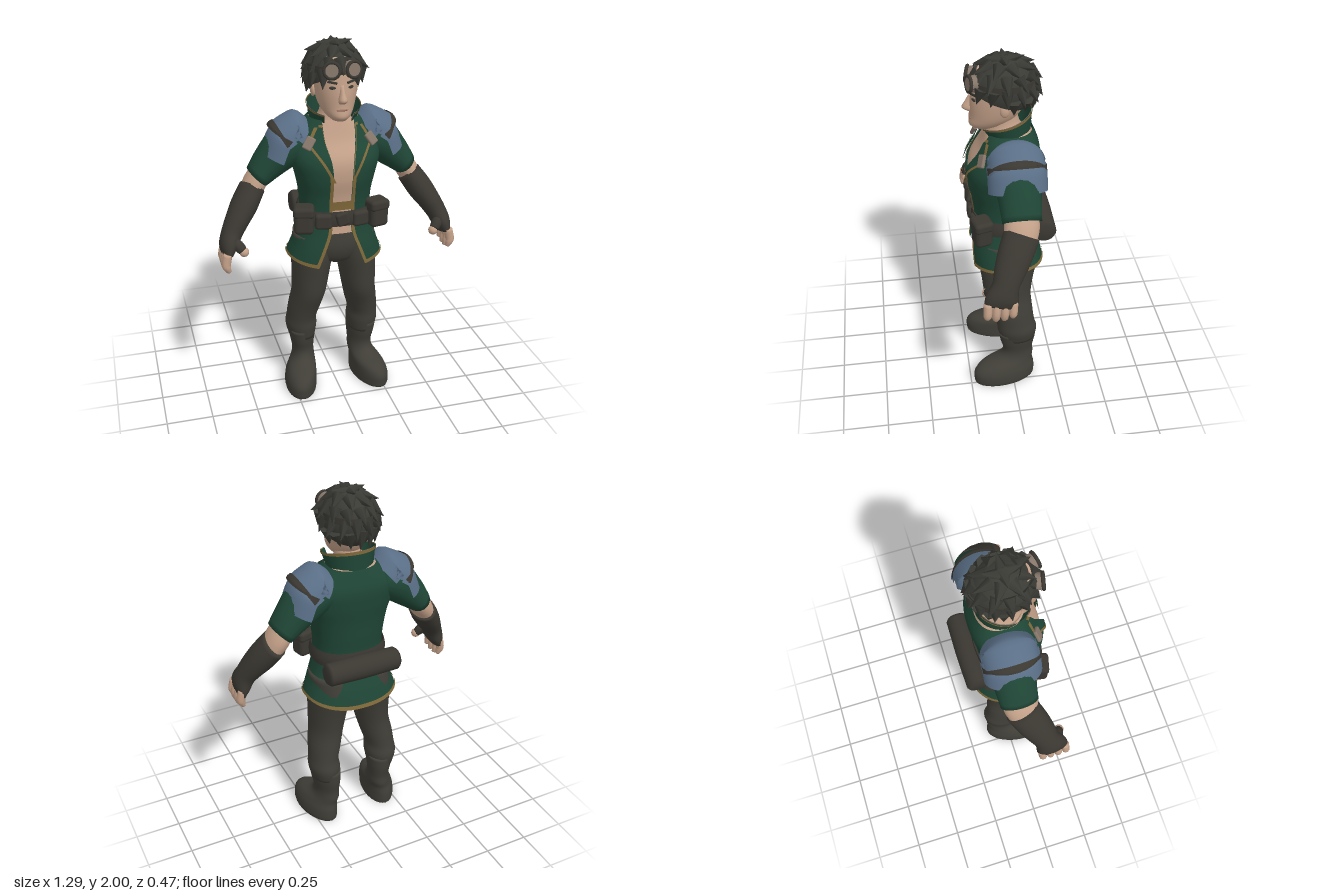
import * as THREE from 'three';
import { RoundedBoxGeometry } from 'three/addons/geometries/RoundedBoxGeometry.js';

const flat = (name, color, side = THREE.FrontSide) => {
  const m = new THREE.MeshStandardMaterial({ color, side });
  m.name = name;
  return m;
};
const V = (x, y, z) => new THREE.Vector3(x, y, z);

// Smooth interpolation through rows of numbers; t counts rows
function rowAt(rows, t) {
  const n = rows.length - 1, i = Math.max(0, Math.min(Math.floor(t), n - 1)), f = t - i;
  return rows[i].map((b, k) => {
    const c = rows[i + 1][k];
    const a = i > 0 ? rows[i - 1][k] : 2 * b - c, d = i + 2 <= n ? rows[i + 2][k] : 2 * c - b;
    return b + 0.5 * f * (c - a + f * (2 * a - 5 * b + 4 * c - d + f * (3 * (b - c) + d - a)));
  });
}

// Surface from fn(row 0..1, column 0..1)
function grid(nr, nc, fn, closed = false) {
  const pos = [], idx = [], w = closed ? nc : nc + 1;
  for (let i = 0; i <= nr; i++)
    for (let j = 0; j < w; j++) pos.push(...fn(i / nr, j / nc).toArray());
  for (let i = 0; i < nr; i++)
    for (let j = 0; j < nc; j++) {
      const k = (j + 1) % w, a = i * w + j, b = a + w, c = i * w + k, d = (i + 1) * w + k;
      idx.push(a, b, c, b, d, c);
    }
  const g = new THREE.BufferGeometry();
  g.setAttribute('position', new THREE.Float32BufferAttribute(pos, 3));
  g.setIndex(idx);
  g.computeVertexNormals();
  return g;
}

// Capped loft through rows [x, y, z, side radius, front radius]; level keeps sections horizontal
function loft(rows, { level = false, seg = 20, sub = 4, skew = 0 } = {}) {
  const n = (rows.length - 1) * sub;
  return grid(n + 2, seg, (r, c) => {
    const i = Math.round(r * (n + 2)) - 1, t = Math.max(0, Math.min(i, n)) / sub;
    const q = rowAt(rows, t), cap = i < 0 || i > n ? 0 : 1;
    const dir = V(0, -1, 0);
    if (!level) {
      const a = rowAt(rows, Math.max(0, t - 0.1)), b = rowAt(rows, Math.min(rows.length - 1, t + 0.1));
      dir.set(b[0] - a[0], b[1] - a[1], b[2] - a[2]).normalize();
    }
    const w = V(0, 0, 1).addScaledVector(dir, -dir.z).normalize(), u = w.clone().cross(dir);
    const th = c * Math.PI * 2, dz = q[4] * Math.cos(th) * cap;
    return V(q[0] + skew * dz, q[1], q[2]).addScaledVector(u, q[3] * Math.sin(th) * cap).addScaledVector(w, dz);
  }, true);
}

// Coat rows every 0.1 down from y = 1.6: [y, centre z, half width, half depth, half opening]
const COAT = [
  [1.6, 0, 0.13, 0.125, 0.085], [1.5, 0, 0.225, 0.16, 0.08], [1.4, 0.03, 0.24, 0.185, 0.058],
  [1.3, 0.04, 0.215, 0.18, 0.05], [1.2, 0.035, 0.195, 0.165, 0.05], [1.1, 0.035, 0.19, 0.155, 0.05],
  [1.0, 0.035, 0.205, 0.16, 0.055], [0.9, 0.025, 0.235, 0.185, 0.09], [0.8, 0.015, 0.26, 0.2, 0.125]];
const pw = (v) => Math.sign(v) * Math.abs(v) ** 0.85;
const tOf = (y) => (1.6 - y) * 10;
const gap = (t) => rowAt(COAT, t)[4];
const angle = (x, t) => Math.asin(Math.min(1, (x / rowAt(COAT, t)[2]) ** (1 / 0.85)));
function coat(t, th, off = 0) {
  const [y, cz, rx, rz] = rowAt(COAT, t), s = Math.sin(th);
  return V((rx + off) * pw(s), y + Math.max(0, t - 7) * 0.035 * s * s, cz + (rz + off) * pw(Math.cos(th)));
}
// Thin front panel lying on the coat between two x curves
const panel = (y0, y1, xa, xb, off) => grid(24, 4, (r, c) => {
  const t = tOf(y0 + (y1 - y0) * r);
  return coat(t, angle(xa(t) + (xb(t) - xa(t)) * c, t), off);
});

export function createModel() {
  const D = THREE.DoubleSide;
  const skin = flat('skin', 0xc4a189), hair = flat('hair', 0x3a3b35, D), green = flat('green cloth', 0x1f4636, D);
  const gold = flat('gold trim', 0x80693a, D), blue = flat('blue armour', 0x5a6f87, D);
  const trousers = flat('trousers', 0x403e37), leather = flat('dark leather', 0x3b3832, D);
  const lens = flat('tan lens', 0x86766a), lips = flat('lips', 0x9a6e5e);

  const model = new THREE.Group();
  const add = (name, geo, mat, p, parent = model) => {
    const m = new THREE.Mesh(geo, mat);
    m.name = name;
    if (p) m.position.set(...p);
    parent.add(m);
    return m;
  };
  // Left half (+x) and its mirror
  const left = new THREE.Group();
  const side = (name, geo, mat, p) => add(name, geo, mat, p, left);

  // Body
  add('chest', grid(36, 40, (r, c) => coat(r * 6.1, c * Math.PI * 2, -0.012), true), skin);
  add('neck', loft([[0, 1.7, 0.03, 0.07, 0.075], [0, 1.63, 0.02, 0.075, 0.08], [0, 1.56, 0.01, 0.11, 0.115]], { level: true }), skin);
  add('hips', loft([[0, 1.0, 0.03, 0.18, 0.14], [0, 0.9, 0.02, 0.2, 0.16], [0, 0.82, 0.015, 0.16, 0.14], [0, 0.78, 0.01, 0.06, 0.09]], { level: true }), trousers);

  // Head
  add('head', loft([[0, 1.93, 0.03, 0.09, 0.12], [0, 1.88, 0.035, 0.11, 0.143], [0, 1.82, 0.04, 0.113, 0.148],
    [0, 1.75, 0.05, 0.108, 0.145], [0, 1.68, 0.07, 0.092, 0.125], [0, 1.635, 0.1, 0.066, 0.1], [0, 1.61, 0.12, 0.038, 0.06]],
  { level: true, seg: 32 }), skin);
  add('nose', loft([[0, 1.8, 0.18, 0.011, 0.012], [0, 1.76, 0.19, 0.015, 0.025], [0, 1.725, 0.2, 0.023, 0.033], [0, 1.705, 0.185, 0.018, 0.02]], { level: true, seg: 12 }), skin);
  add('mouth', new THREE.SphereGeometry(1, 12, 8), lips, [0, 1.672, 0.191]).scale.set(0.032, 0.006, 0.008);
  const eye = side('eye', new THREE.SphereGeometry(1, 12, 8), hair, [0.045, 1.785, 0.176]);
  eye.scale.set(0.02, 0.009, 0.006);
  eye.rotation.y = 0.4;
  const brow = side('eyebrow', new THREE.BoxGeometry(0.05, 0.011, 0.009), hair, [0.048, 1.813, 0.175]);
  brow.rotation.set(0, 0.45, 0.15);
  side('ear', new THREE.SphereGeometry(1, 12, 10), skin, [0.112, 1.745, 0.03]).scale.set(0.014, 0.035, 0.025);

  // Hair cap and swept tufts
  const scalp = (phi, th) => V(0.14 * Math.sin(phi) * Math.sin(th), 0.148 * Math.cos(phi), 0.165 * Math.sin(phi) * Math.cos(th)).add(V(0, 1.83, 0.02));
  const hairline = (th) => 1.5 + 0.95 * ((1 - Math.cos(th)) / 2) ** 0.8;
  add('hair cap', grid(12, 36, (r, c) => scalp(r * hairline(c * Math.PI * 2), c * Math.PI * 2), true), hair);
  [[0.25, 4], [0.7, 8], [1.15, 12], [1.55, 14], [1.95, 14]].forEach(([phi, n], k) => {
    for (let i = 0; i < n; i++) {
      const th = ((i + 0.5 * (k % 2)) / n) * Math.PI * 2, jit = Math.sin(i * 7.3 + k * 3.1);
      if (phi > hairline(th) - 0.08) continue;
      const p = scalp(phi, th), down = scalp(phi + 0.1, th).sub(p).normalize();
      const out = p.clone().sub(V(0, 1.83, 0.02)).normalize();
      const dir = down.multiplyScalar(0.9).addScaledVector(out, 0.5 + 0.12 * jit).add(V(0.25 * jit, 0, 0)).normalize();
      const tuft = add('hair tuft', new THREE.ConeGeometry(0.038, 0.095 + 0.012 * jit, 6), hair, p.addScaledVector(dir, 0.012).toArray());
      tuft.quaternion.setFromUnitVectors(V(0, 1, 0), dir);
    }
  });

  // Goggles on the forehead
  const strap = add('goggle strap', new THREE.CylinderGeometry(1, 1, 0.035, 32, 1, true), leather, [0, 1.87, 0.02]);
  strap.scale.set(0.145, 1, 0.172);
  const cup = new THREE.Group();
  cup.name = 'goggle';
  cup.position.set(0.053, 1.877, 0.185);
  cup.rotation.set(-0.12, 0.25, 0);
  left.add(cup);
  add('goggle rim', new THREE.TorusGeometry(0.039, 0.009, 8, 24), leather, [0, 0, 0.014], cup);
  add('goggle lens', new THREE.CylinderGeometry(0.038, 0.043, 0.04, 24), lens, [0, 0, 0], cup).rotation.x = Math.PI / 2;

  // Coat body, edging and lapels
  add('coat', grid(48, 64, (r, c) => {
    const t = r * 8, a = angle(gap(t), t);
    return coat(t, a + (2 * Math.PI - 2 * a) * c);
  }), green);
  add('coat hem', grid(2, 64, (r, c) => {
    const t = 7.8 + r * 0.22, a = angle(gap(t), t);
    return coat(t, a + (2 * Math.PI - 2 * a) * c, 0.005);
  }), gold);
  side('front edging', panel(1.58, 0.8, gap, (t) => gap(t) + 0.017, 0.005), gold);
  const lapel = (t) => gap(t) + (t < 1.1 ? 0.03 + 0.05 * Math.max(0, t - 0.3) / 0.8 : 0.08 * Math.max(0, (3 - t) / 1.9));
  side('lapel', panel(1.57, 1.3, gap, lapel, 0.012), green);
  side('lapel edging', panel(1.57, 1.3, (t) => lapel(t) - 0.012, (t) => lapel(t) + 0.003, 0.015), gold);
  side('waist edging', panel(1.18, 1.13, () => 0, () => 0.055, 0.003), gold);

  // Standing collar
  const collar = (r, c, off = 0) => {
    const th = 0.6 + c * (2 * Math.PI - 1.2), s = Math.sin(th), k = Math.cos(th);
    const top = V((0.14 + off) * s, 1.663 - 0.26 * 0.14 * k, 0.02 + (0.14 + off) * k);
    return top.lerp(V((0.122 + off) * s, 1.57, (0.117 + off) * k), r);
  };
  add('collar', grid(5, 40, (r, c) => collar(r, c)), green);
  add('collar edging', grid(1, 40, (r, c) => collar(-0.03 + r * 0.14, c, 0.004)), gold);
  add('collar lining', grid(3, 40, (r, c) => collar(r, c, -0.005)), lens);

  // Shoulder armour: profile in x and y, arched front to back
  const plate = (prof, depth, rz) => grid(8, 20, (r, c) => {
    const t = r * (prof.length - 1), p = rowAt(prof, t);
    const a = rowAt(prof, Math.max(0, t - 0.1)), b = rowAt(prof, Math.min(prof.length - 1, t + 0.1));
    const d = V(b[1] - a[1], a[0] - b[0], 0).normalize(), ph = (0.5 - c) * -2.9;
    return V(p[0], p[1], -0.012 + rz * Math.sin(ph)).addScaledVector(d, depth * (1 - Math.cos(ph)));
  });
  side('upper shoulder plate', plate([[0.125, 1.575], [0.195, 1.628], [0.265, 1.605], [0.335, 1.562]], 0.12, 0.145), blue);
  side('shoulder plate rim', plate([[0.312, 1.583], [0.335, 1.57], [0.345, 1.555]], 0.125, 0.15), leather);
  side('lower shoulder plate', plate([[0.28, 1.575], [0.34, 1.525], [0.383, 1.425]], 0.11, 0.152), blue);
  side('shoulder buckle', new RoundedBoxGeometry(0.05, 0.07, 0.02, 2, 0.008), lens, [0.165, 1.5, 0.155]).rotation.set(-0.5, 0.3, 0.6);

  // Arms
  side('sleeve', loft([[0.13, 1.49, -0.01, 0.09, 0.12], [0.24, 1.45, -0.01, 0.115, 0.125], [0.33, 1.37, -0.015, 0.095, 0.11], [0.41, 1.285, -0.015, 0.066, 0.1]]), green);
  side('forearm', loft([[0.39, 1.31, -0.015, 0.055, 0.085], [0.42, 1.26, -0.012, 0.06, 0.09], [0.45, 1.21, 0, 0.058, 0.085]]), skin);
  side('gauntlet', loft([[0.437, 1.23, -0.01, 0.066, 0.093], [0.49, 1.15, 0.03, 0.07, 0.09], [0.537, 1.08, 0.065, 0.062, 0.08],
    [0.572, 1.02, 0.09, 0.055, 0.07], [0.595, 0.965, 0.11, 0.048, 0.085], [0.607, 0.92, 0.12, 0.03, 0.085]]), leather);
  for (let i = 0; i < 4; i++) {
    const z = 0.055 + i * 0.043, low = 0.825 + 0.012 * Math.abs(i - 1.5);
    side('finger', loft([[0.61, 0.945, z, 0.024, 0.023], [0.622, 0.89, z + 0.003, 0.024, 0.022],
      [0.618, low + 0.025, z + 0.005, 0.021, 0.02], [0.608, low, z + 0.005, 0.011, 0.011]], { seg: 10 }), skin);
  }
  side('thumb base', loft([[0.58, 1.0, 0.13, 0.03, 0.035], [0.55, 0.975, 0.16, 0.03, 0.03], [0.53, 0.95, 0.175, 0.025, 0.025]], { seg: 12 }), leather);
  side('thumb tip', new THREE.SphereGeometry(0.026, 12, 10), skin, [0.524, 0.945, 0.178]);

  // Legs and boots
  side('trouser leg', loft([[0.115, 0.96, 0.02, 0.11, 0.15], [0.122, 0.84, 0.015, 0.112, 0.163], [0.133, 0.72, 0.02, 0.103, 0.145], [0.145, 0.6, 0.02, 0.093, 0.13],
    [0.165, 0.5, -0.002, 0.09, 0.115], [0.18, 0.42, -0.018, 0.083, 0.108], [0.181, 0.36, -0.028, 0.088, 0.112], [0.178, 0.29, -0.03, 0.074, 0.1]], { level: true, seg: 24 }), trousers);
  side('boot', loft([[0.178, 0.34, -0.03, 0.078, 0.11], [0.174, 0.27, -0.034, 0.072, 0.102], [0.171, 0.2, -0.035, 0.063, 0.088], [0.175, 0.15, -0.02, 0.068, 0.105],
    [0.193, 0.11, 0.035, 0.082, 0.155], [0.203, 0.07, 0.05, 0.09, 0.178], [0.205, 0.025, 0.05, 0.093, 0.18], [0.204, 0, 0.05, 0.09, 0.177]],
  { level: true, seg: 28, skew: 0.13 }), trousers);

  // Belt, pouches and back roll
  add('belt', grid(4, 48, (r, c) => coat(tOf(1.125 - 0.085 * r), c * Math.PI * 2, 0.01 + 0.008 * Math.sin(r * Math.PI)), true), leather);
  add('belt knot', new RoundedBoxGeometry(0.07, 0.075, 0.03, 3, 0.014), leather, [0, 1.085, 0.208]).rotation.z = 0.25;
  side('small pouch', new RoundedBoxGeometry(0.09, 0.085, 0.05, 3, 0.018), leather, [0.1, 1.075, 0.188]).rotation.y = 0.2;
  const pouch = side('pouch', new RoundedBoxGeometry(0.105, 0.145, 0.095, 3, 0.025), leather, [0.2, 1.085, 0.165]);
  pouch.rotation.y = 0.25;
  add('pouch flap', new RoundedBoxGeometry(0.112, 0.06, 0.103, 3, 0.02), leather, [0, 0.05, 0], pouch);
  const rollShape = [[0, -0.21], [0.05, -0.21], [0.062, -0.195], [0.066, 0], [0.062, 0.195], [0.05, 0.21], [0, 0.21]];
  add('back roll', new THREE.LatheGeometry(rollShape.map((p) => new THREE.Vector2(...p)), 20), leather, [0.01, 1.055, -0.17]).rotation.z = Math.PI / 2;

  left.name = 'left side';
  const right = left.clone();
  right.name = 'right side';
  right.scale.x = -1;
  model.add(left, right);
  return model;
}
